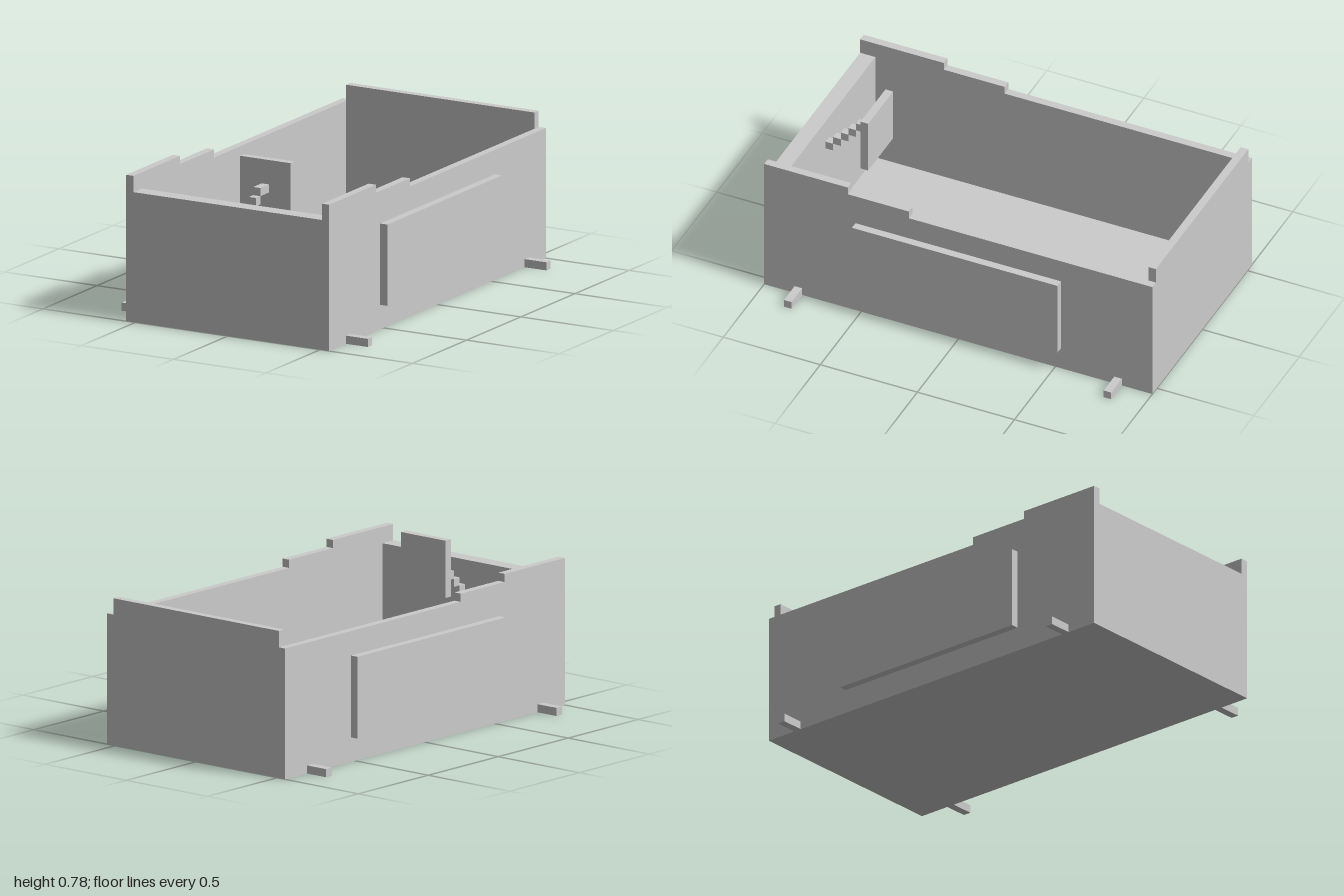
import * as THREE from 'three';

const U = 2 / 51; // one block; the model is 51 blocks long
const material = new THREE.MeshStandardMaterial({ color: 0xcccccc, flatShading: true });

export function createModel() {
  const model = new THREE.Group();

  // Box between two corners in blocks; z is counted from the back
  function block(name, [x0, y0, z0], [x1, y1, z1]) {
    const mesh = new THREE.Mesh(new THREE.BoxGeometry((x1 - x0) * U, (y1 - y0) * U, (z1 - z0) * U), material);
    mesh.position.set((x0 + x1) / 2 * U, (y0 + y1) / 2 * U, (z0 + z1) / 2 * U - 1);
    mesh.name = name;
    model.add(mesh);
  }

  // Tub: floor, thicker front wall, taller back wall
  block('floor', [-13, 0, 1], [13, 1, 49]);
  block('frontWall', [-13, 0, 49], [13, 16, 51]);
  block('backWall', [-13, 0, 0], [13, 18, 1]);

  // Side wall outline (distance from back, height) with the rim stepping up to the back
  const outline = [[0, 0], [51, 0], [51, 16], [19, 16], [19, 17], [11, 17], [11, 18], [0, 18]];
  const wallShape = new THREE.Shape(outline.map(([z, y]) => new THREE.Vector2(1 - z * U, y * U)));
  const wallGeometry = new THREE.ExtrudeGeometry(wallShape, { depth: U, bevelEnabled: false });
  wallGeometry.rotateY(-Math.PI / 2); // outline x becomes z, depth runs towards -x
  wallGeometry.scale(1, 1, 1);

  for (const side of [-1, 1]) {
    const label = side > 0 ? 'left' : 'right';
    const wall = new THREE.Mesh(wallGeometry, material);
    wall.name = label + 'Wall';
    wall.position.x = side > 0 ? 14 * U : -13 * U;
    model.add(wall);

    // Raised door panel and the two axle stubs
    const span = (a, b) => side > 0 ? [a, b] : [-b, -a];
    const [p0, p1] = span(14, 15);
    block(label + 'SidePanel', [p0, 3, 12], [p1, 13, 39]);
    const [a0, a1] = span(14, 17);
    block(label + 'RearAxle', [a0, 0, 4], [a1, 1, 5]);
    block(label + 'FrontAxle', [a0, 0, 46], [a1, 1, 47]);
  }

  // Steering plate on a stepped column descending to the front wall
  block('steeringPlate', [-3, 13, 42], [4, 20, 43]);
  block('steeringColumnTop', [0, 16, 43], [1, 17, 45]);
  for (let i = 0; i < 4; i++) {
    block('steeringColumnStep', [0, 15 - i, 45 + i], [1, 16 - i, 46 + i]);
  }

  return model;
}
